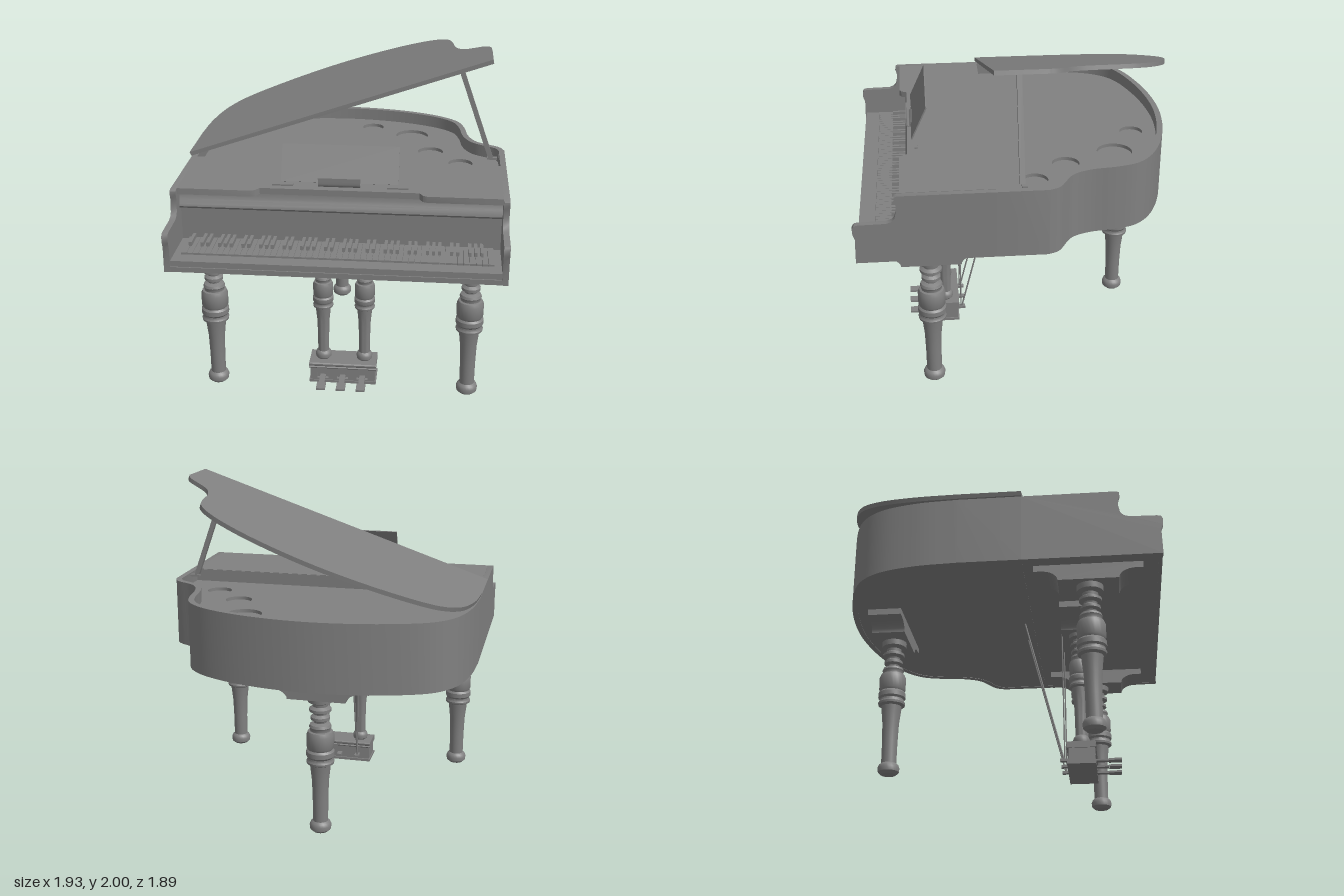
import * as THREE from 'three';
import { toCreasedNormals } from 'three/addons/utils/BufferGeometryUtils.js';

const darkGrey = new THREE.MeshStandardMaterial({ color: 0x808080, side: THREE.DoubleSide });
const V2 = (x, y) => new THREE.Vector2(x, y);

function add(parent, name, geo, x = 0, y = 0, z = 0) {
  const mesh = new THREE.Mesh(geo, darkGrey);
  mesh.name = name;
  mesh.position.set(x, y, z);
  parent.add(mesh);
  return mesh;
}
const box = (parent, name, w, h, d, x, y, z) => add(parent, name, new THREE.BoxGeometry(w, h, d), x, y, z);

// Slab from a plan outline of [x, z] points, rising from y = 0
function slab(pts, height, holes = []) {
  const shape = new THREE.Shape(pts.map(p => V2(p.x, -p.y)));
  shape.holes = holes;
  const geo = new THREE.ExtrudeGeometry(shape, { depth: height, bevelEnabled: false, curveSegments: 20 });
  return toCreasedNormals(geo.rotateX(-Math.PI / 2), 0.6);
}

// Profile of [z, y] points swept along x, centred on x = 0
function sweepX(pts, width) {
  const shape = new THREE.Shape(pts.map(p => V2(-p.x, p.y)));
  const geo = new THREE.ExtrudeGeometry(shape, { depth: width, bevelEnabled: false });
  geo.translate(0, 0, -width / 2).rotateY(Math.PI / 2);
  return toCreasedNormals(geo, 0.6);
}

// Offset a line of points sideways
function offset(pts, d) {
  return pts.map((p, i) => {
    const a = pts[Math.max(i - 1, 0)], b = pts[Math.min(i + 1, pts.length - 1)];
    const t = b.clone().sub(a).normalize();
    return V2(p.x - t.y * d, p.y + t.x * d);
  });
}

// Straight round rod between two points
function rod(parent, name, a, b, r) {
  const A = new THREE.Vector3(...a), B = new THREE.Vector3(...b);
  const dir = B.clone().sub(A);
  const mesh = add(parent, name, new THREE.CylinderGeometry(r, r, dir.length(), 8));
  mesh.position.copy(A).add(B).multiplyScalar(0.5);
  mesh.quaternion.setFromUnitVectors(new THREE.Vector3(0, 1, 0), dir.normalize());
}

// Turned leg profile: [radius, y]
const legProfile = [[0, 0], [0.045, 0], [0.062, 0.015], [0.065, 0.04], [0.058, 0.058], [0.045, 0.068], [0.046, 0.2],
  [0.05, 0.32], [0.06, 0.41], [0.062, 0.425], [0.08, 0.435], [0.082, 0.448], [0.074, 0.46], [0.074, 0.47], [0.083, 0.482],
  [0.083, 0.51], [0.073, 0.522], [0.08, 0.535], [0.081, 0.61], [0.072, 0.632], [0.06, 0.636], [0.06, 0.65], [0.066, 0.66],
  [0.06, 0.675], [0.036, 0.685], [0.038, 0.695], [0.056, 0.705], [0.056, 0.722], [0.038, 0.735], [0.04, 0.745],
  [0.064, 0.756], [0.064, 0.772], [0.044, 0.785], [0.046, 0.802], [0.073, 0.815], [0.076, 0.85]];
function turnedLeg(parent, name, x, y, z, rScale = 1, yScale = 1) {
  const geo = new THREE.LatheGeometry(legProfile.map(([r, h]) => V2(r * rScale, h * yScale)), 24);
  add(parent, name, toCreasedNormals(geo, 0.6), x, y, z);
}

// Mounting block with concave ends, lengthwise along z unless turned
function mountBlock(parent, name, half, flat, x, z, turn) {
  const end = [];
  for (let i = 0; i <= 8; i++) {
    const a = i / 8 * Math.PI / 2;
    end.push(V2(half - 0.04 - (half - 0.04 - flat) * Math.sin(a), 0.848 + 0.057 * Math.cos(a)));
  }
  const right = [V2(half, 0.945), V2(half, 0.905), ...end];
  const left = right.map(p => V2(-p.x, p.y)).reverse();
  const mesh = add(parent, name, sweepX([...right, ...left], 0.2), x, 0, z);
  if (turn) mesh.rotation.y = Math.PI / 2;
}

export function createModel() {
  const piano = new THREE.Group();
  piano.name = 'grandPiano';

  // Curved plan outline shared by the rim and the lid
  const curve = new THREE.CatmullRomCurve3([[-0.96, -0.2], [-0.94, -0.45], [-0.88, -0.66], [-0.77, -0.79], [-0.49, -0.895],
    [-0.14, -0.943], [0.15, -0.922], [0.41, -0.855], [0.59, -0.763], [0.678, -0.67], [0.715, -0.555], [0.74, -0.39],
    [0.79, -0.285], [0.93, -0.19], [0.96, -0.13]].map(([x, z]) => new THREE.Vector3(x, 0, z)), false, 'centripetal');
  const bend = curve.getPoints(90).map(p => V2(p.x, p.z));
  const outline = [V2(-0.96, 0.16), ...bend, V2(0.96, 0.16)];
  const inner = offset(outline, 0.035);
  inner[0].set(-0.925, 0.15);
  inner[inner.length - 1].set(0.925, 0.15);

  // Case
  const body = new THREE.Group();
  body.name = 'case';
  piano.add(body);
  const rimHole = new THREE.Path(inner.map(p => V2(p.x, -p.y)));
  add(body, 'rim', slab(outline, 0.405, [rimHole]), 0, 0.94, 0);
  add(body, 'bottomBoard', slab(offset(outline, 0.01), 0.03), 0, 0.942, 0);
  add(body, 'soundboard', slab(inner, 0.01), 0, 1.23, 0);
  const plateHoles = [[0.1, -0.74, 0.07], [0.37, -0.59, 0.105], [0.5, -0.28, 0.08], [0.69, -0.08, 0.075]].map(([x, z, r]) =>
    new THREE.Path().absarc(x, -z, r, 0, Math.PI * 2, true));
  add(body, 'ironPlate', slab(inner, 0.02, plateHoles), 0, 1.25, 0);

  // Side arms
  const arm = [[0.16, 0.94], [0.935, 0.94], [0.932, 1.09], [0.943, 1.12], [0.945, 1.155], [0.935, 1.172], [0.915, 1.177],
    [0.76, 1.18], [0.73, 1.19], [0.712, 1.21], [0.703, 1.25], [0.703, 1.29], [0.712, 1.32], [0.71, 1.338], [0.695, 1.345],
    [0.16, 1.345]].map(([z, y]) => V2(z, y));
  for (const s of [-1, 1]) add(body, 'sideArm', sweepX(arm, 0.035), s * 0.9425, 0, 0);

  // Key bed, key slip and fallboard
  box(body, 'keyBed', 1.85, 0.045, 0.76, 0, 0.9645, 0.54);
  box(body, 'keySlip', 1.85, 0.063, 0.09, 0, 0.9735, 0.88);
  box(body, 'frontRail', 1.9, 0.03, 0.02, 0, 0.955, 0.922);
  for (const s of [-1, 1]) box(body, 'keyBlock', 0.04, 0.063, 0.24, s * 0.905, 0.9735, 0.72);
  const fall = [[0.56, 0.98], [0.612, 0.98], [0.612, 1.205], [0.64, 1.21], [0.648, 1.222], [0.645, 1.237], [0.632, 1.26],
    [0.622, 1.29], [0.62, 1.315], [0.56, 1.315]].map(([z, y]) => V2(z, y));
  add(body, 'fallboard', sweepX(fall, 1.85));

  // Closed front part of the lid, with a notch in its front edge
  const front = [[-0.925, 0.155], [0.925, 0.155], [0.925, 0.682], [0.5, 0.682], [0.475, 0.67], [0.455, 0.635],
    [-0.455, 0.635], [-0.475, 0.67], [-0.5, 0.682], [-0.925, 0.682]].map(([x, z]) => V2(x, z));
  add(body, 'frontLid', slab(front, 0.037), 0, 1.31, 0);

  // Keyboard
  const keys = new THREE.Group();
  keys.name = 'keyboard';
  piano.add(keys);
  const pitch = 1.77 / 52;
  for (let i = 0; i < 52; i++) {
    const x = -0.885 + (i + 0.5) * pitch;
    box(keys, 'whiteKey', pitch - 0.002, 0.03, 0.225, x, 1.0, 0.72);
    // sharps follow A, C, D, F and G
    if (i < 51 && [0, 2, 3, 5, 6].includes(i % 7)) {
      box(keys, 'blackKey', 0.018, 0.03, 0.13, x + pitch / 2, 1.025, 0.675);
    }
  }

  // Raised lid, hinged along the -x side
  const lid = add(piano, 'raisedLid', slab(outline.map(p => V2(p.x + 0.96, p.y)), 0.025), -0.96, 1.352, 0);
  lid.rotation.z = THREE.MathUtils.degToRad(19);
  const prop = box(piano, 'lidProp', 0.028, 0.615, 0.03, 0.768, 1.632, 0.01);
  prop.rotation.z = Math.atan2(0.205, 0.575);
  box(piano, 'propSocket', 0.06, 0.012, 0.03, 0.88, 1.34, 0.0);

  // Music desk with a curled ledge
  const desk = box(piano, 'musicDesk', 0.67, 0.216, 0.008, 0, 1.48, 0.562);
  desk.rotation.x = -Math.atan2(0.09, 0.195);
  const hook = new THREE.SplineCurve([[0.604, 1.395], [0.608, 1.375], [0.624, 1.364], [0.639, 1.376], [0.641, 1.42]]
    .map(([z, y]) => V2(z, y))).getPoints(16);
  add(piano, 'deskLedge', sweepX([...hook, ...offset(hook, 0.007).reverse()], 0.24));
  for (const s of [-1, 1]) box(piano, 'deskHinge', 0.12, 0.012, 0.018, s * 0.33, 1.35, 0.582);

  // Legs and their blocks
  for (const s of [-1, 1]) {
    mountBlock(piano, 'frontLegBlock', 0.305, 0.17, s * 0.775, 0.522, false);
    turnedLeg(piano, 'frontLeg', s * 0.773, 0, 0.527);
  }
  mountBlock(piano, 'rearLegBlock', 0.305, 0.17, -0.115, -0.715, true);
  turnedLeg(piano, 'rearLeg', -0.115, 0, -0.71);

  // Pedal lyre
  const lyre = new THREE.Group();
  lyre.name = 'pedalLyre';
  piano.add(lyre);
  mountBlock(lyre, 'lyreBlock', 0.405, 0.2, -0.01, 0.435, true);
  for (const x of [-0.12, 0.135]) turnedLeg(lyre, 'lyrePost', x, 0.14, 0.435, 0.76, 0.84);
  // Pedal box front with arched openings
  const face = new THREE.Shape([V2(-0.2, 0.022), V2(0.2, 0.022), V2(0.2, 0.11), V2(-0.2, 0.11)]);
  for (const x of [-0.122, 0, 0.122]) {
    const hole = new THREE.Path();
    hole.moveTo(x - 0.035, 0.035);
    hole.lineTo(x + 0.035, 0.035);
    hole.lineTo(x + 0.035, 0.065);
    hole.absarc(x, 0.065, 0.035, 0, Math.PI, false);
    face.holes.push(hole);
  }
  add(lyre, 'pedalBoxFront', new THREE.ExtrudeGeometry(face, { depth: 0.02, bevelEnabled: false }), 0.005, 0, 0.495);
  box(lyre, 'pedalBox', 0.4, 0.088, 0.135, 0.005, 0.066, 0.4275);
  box(lyre, 'pedalBoxBase', 0.415, 0.016, 0.17, 0.005, 0.016, 0.435);
  // Rounded moulding around the top of the pedal box
  const moulding = [[0.08, 0.105], [0.087, 0.113], [0.082, 0.12], [0.086, 0.126], [0.086, 0.136], [0.08, 0.142]]
    .map(([z, y]) => V2(z, y));
  add(lyre, 'pedalBoxTop', sweepX([...moulding, ...moulding.map(p => V2(-p.x, p.y)).reverse()], 0.415), 0.005, 0, 0.435);
  for (const x of [-0.122, 0, 0.122]) {
    box(lyre, 'pedal', 0.035, 0.01, 0.1, x + 0.005, 0.047, 0.54);
    box(lyre, 'pedalTip', 0.055, 0.012, 0.075, x + 0.005, 0.047, 0.628);
    box(lyre, 'pedalTail', 0.03, 0.015, 0.06, x + 0.005, 0.055, 0.338);
  }
  for (const x of [-0.12, 0.13]) {
    rod(lyre, 'pedalRod', [x, 0.06, 0.335], [x, 0.945, 0.335], 0.004);
    rod(lyre, 'lyreBrace', [x, 0.06, 0.33], [x, 0.945, 0.108], 0.005);
  }
  return piano;
}
